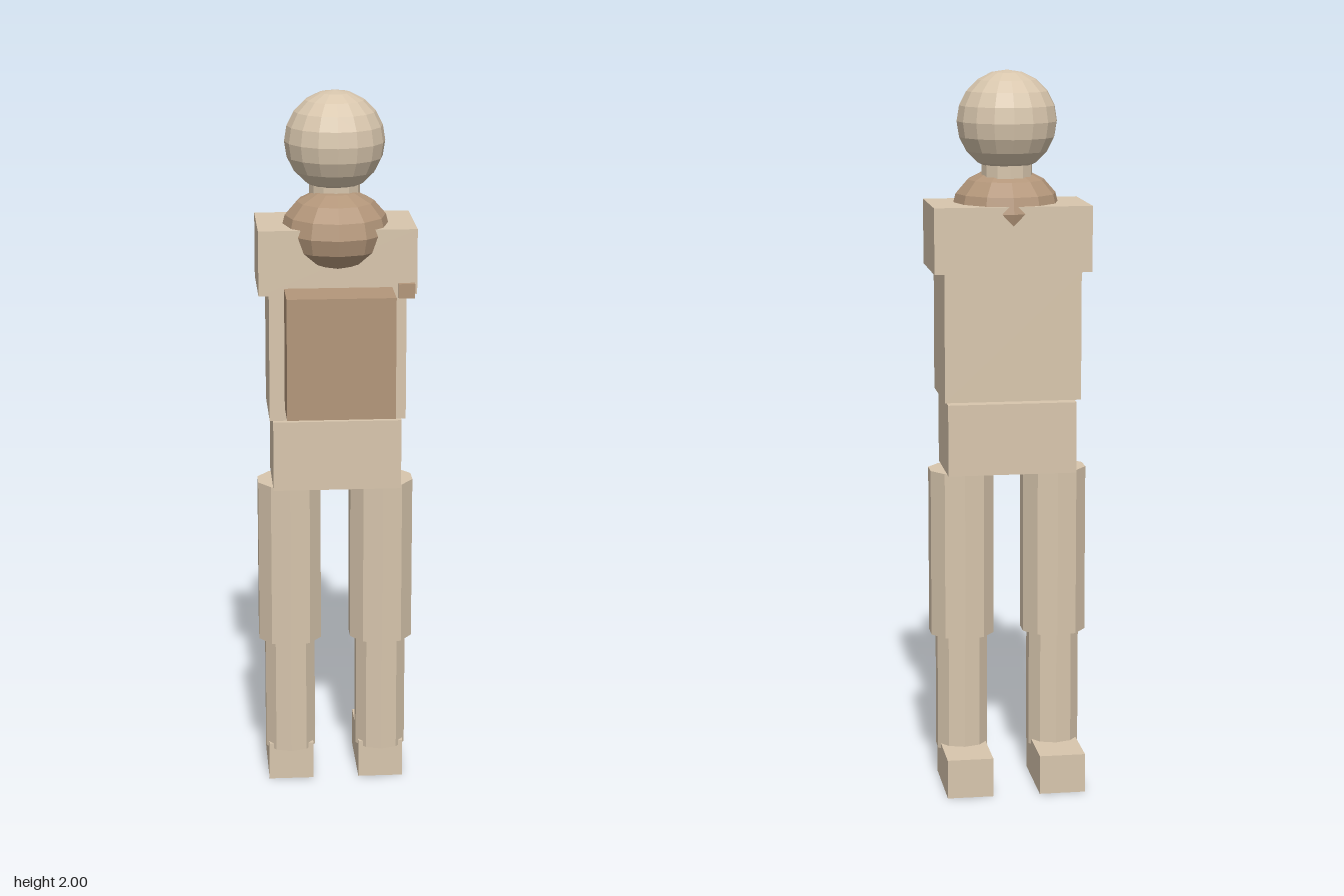
import * as THREE from 'three';

const tan = new THREE.MeshStandardMaterial({ color: 0xd8c6ad });
tan.name = 'tan';
const brown = new THREE.MeshStandardMaterial({ color: 0xb3967a });
brown.name = 'brown';

// Turn shared normals into one normal per facet.
function faceted(geometry) {
  const flat = geometry.toNonIndexed();
  flat.computeVertexNormals();
  return flat;
}

export function createModel() {
  const model = new THREE.Group();
  model.name = 'figure';

  function add(name, geometry, material, x, y, z) {
    const mesh = new THREE.Mesh(geometry, material);
    mesh.name = name;
    mesh.position.set(x, y, z);
    model.add(mesh);
    return mesh;
  }

  // Box given by its lower and upper limits on each axis.
  function box(name, material, [x0, x1], [y0, y1], [z0, z1]) {
    return add(name, new THREE.BoxGeometry(x1 - x0, y1 - y0, z1 - z0), material,
      (x0 + x1) / 2, (y0 + y1) / 2, (z0 + z1) / 2);
  }

  function column(name, radius, sides, y0, y1, x, z) {
    return add(name, faceted(new THREE.CylinderGeometry(radius, radius, y1 - y0, sides)),
      tan, x, (y0 + y1) / 2, z);
  }

  // Head, neck and the squashed collar around it
  add('head', faceted(new THREE.SphereGeometry(0.138, 16, 10)), tan, 0, 1.862, -0.039);
  column('neck', 0.07, 12, 1.64, 1.765, 0, -0.039);
  const collar = new THREE.SphereGeometry(1, 12, 8).scale(0.15, 0.115, 0.16);
  add('collar', faceted(collar), brown, 0, 1.62, -0.015);

  // Body blocks
  box('shoulders', tan, [-0.216, 0.216], [1.46, 1.64], [-0.166, 0.088]);
  box('torso', tan, [-0.188, 0.188], [1.107, 1.46], [-0.158, 0.083]);
  box('hips', tan, [-0.178, 0.178], [0.9, 1.098], [-0.147, 0.07]);

  // Pack and its small strap end
  box('pack', brown, [-0.147, 0.147], [1.148, 1.483], [0.097, 0.225]);
  box('strap', brown, [0.165, 0.209], [1.452, 1.492], [-0.064, 0.104]);

  // Legs
  for (const [side, s] of [['left', 1], ['right', -1]]) {
    column(side + 'Thigh', 0.0925, 10, 0.43, 0.9, s * 0.13, -0.039);
    column(side + 'Shin', 0.074, 10, 0.095, 0.43, s * 0.13, -0.039);
    const x = s * 0.1295;
    box(side + 'Foot', tan, [x - 0.064, x + 0.064], [0, 0.11], [-0.225, 0.011]);
  }

  return model;
}
